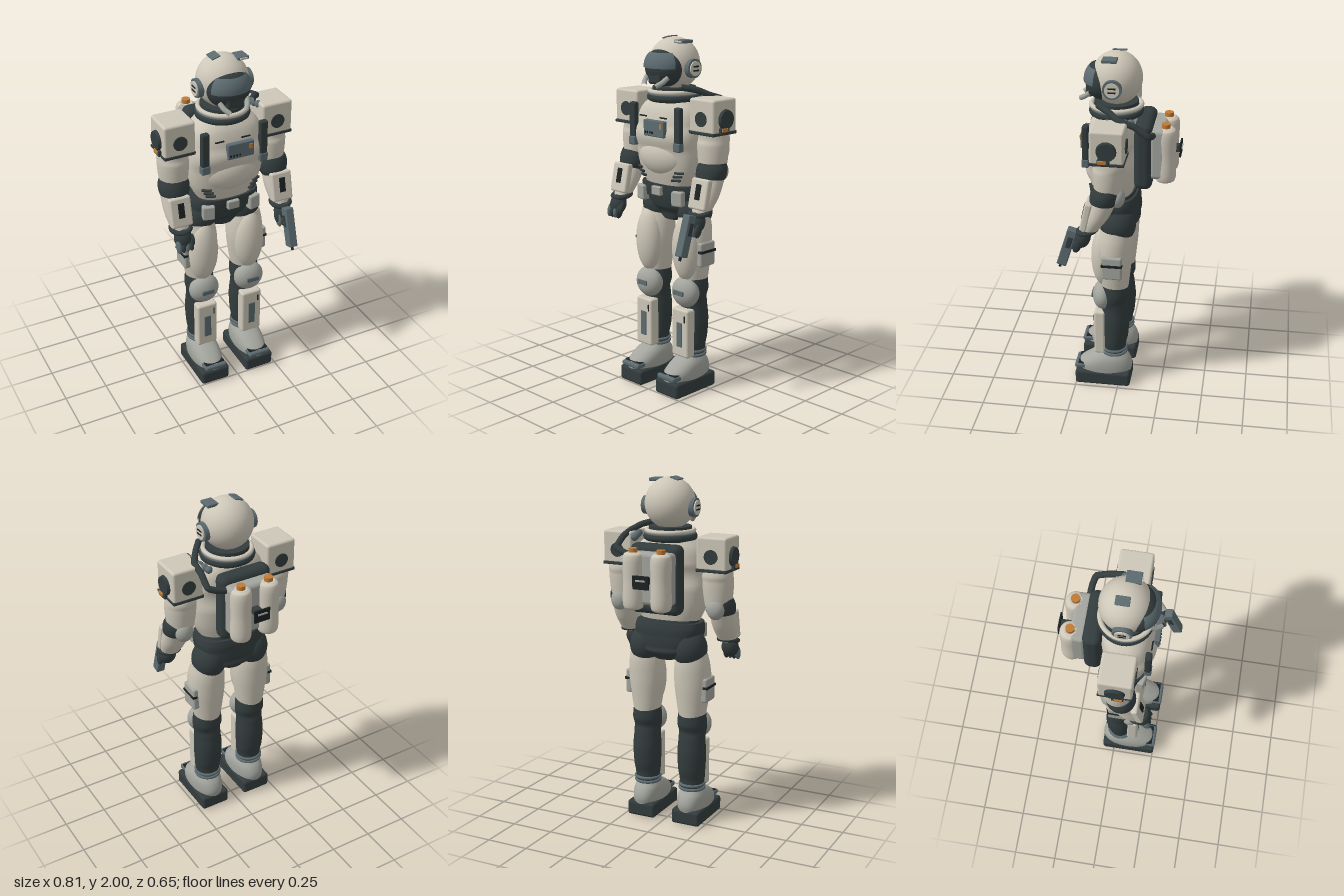
import * as THREE from 'three';
import { RoundedBoxGeometry } from 'three/addons/geometries/RoundedBoxGeometry.js';

const mat = (name, color) => Object.assign(new THREE.MeshStandardMaterial({ color }), { name });

export function createModel() {
  const cream = mat('cream shell', 0xcdc7b8), grey = mat('pale grey', 0xa3a59e);
  const dark = mat('dark fabric', 0x333c3d), teal = mat('slate metal', 0x5c6b70);
  const black = mat('black detail', 0x1c2223), orange = mat('orange', 0xbf7b35);
  const model = new THREE.Group();
  model.name = 'spaceSuit';

  const add = (name, geo, m, x = 0, y = 0, z = 0, rx = 0, ry = 0, rz = 0) => {
    const mesh = new THREE.Mesh(geo, m);
    mesh.name = name;
    mesh.position.set(x, y, z);
    mesh.rotation.set(rx, ry, rz);
    model.add(mesh);
    return mesh;
  };
  const box = (w, h, d, r = 0.01) => new RoundedBoxGeometry(w, h, d, 3, Math.min(r, w / 2.1, h / 2.1, d / 2.1));
  const ball = (a, b, c) => new THREE.SphereGeometry(1, 36, 24).scale(a, b, c);
  const cyl = (r, h, r2 = r) => new THREE.CylinderGeometry(r2, r, h, 32);
  const ring = (r, t, sx = 1, sz = 1) => new THREE.TorusGeometry(r, t, 10, 40).rotateX(Math.PI / 2).scale(sx, 1, sz);
  const tube = (pts, r) => new THREE.TubeGeometry(
    new THREE.CatmullRomCurve3(pts.map(p => new THREE.Vector3(...p)), false, 'catmullrom', 0.2), 40, r, 12);

  // Smooth body through sections [y, rx, rz, cx, cz], listed upward; n squares off the outline
  const loft = (sections, n = 2, steps = 28, sides = 44) => {
    const size = new THREE.CatmullRomCurve3(sections.map(s => new THREE.Vector3(s[0], s[1], s[2])));
    const mid = new THREE.CatmullRomCurve3(sections.map(s => new THREE.Vector3(s[3] || 0, s[4] || 0, 0)));
    const pos = [], idx = [];
    const pw = v => Math.sign(v) * Math.abs(v) ** (2 / n);
    const row = (t, k) => {
      const a = size.getPoint(t), c = mid.getPoint(t);
      for (let j = 0; j < sides; j++) {
        const q = j / sides * Math.PI * 2;
        pos.push(c.x + k * a.y * pw(Math.cos(q)), a.x, c.y + k * a.z * pw(Math.sin(q)));
      }
    };
    row(0, 0); row(0, 1);
    for (let i = 0; i <= steps; i++) row(i / steps, 1);
    row(1, 1); row(1, 0);
    for (let i = 0; i < steps + 4; i++) for (let j = 0; j < sides; j++) {
      const k = (j + 1) % sides, a = i * sides + j, b = i * sides + k;
      idx.push(a, a + sides, b, b, a + sides, b + sides);
    }
    const g = new THREE.BufferGeometry();
    g.setAttribute('position', new THREE.Float32BufferAttribute(pos, 3));
    g.setIndex(idx);
    g.computeVertexNormals();
    return g;
  };

  // Helmet and visor
  add('helmet', ball(0.143, 0.145, 0.14), cream, 0, 1.855, 0.033);
  add('visorSurround', ball(0.124, 0.108, 0.098), dark, 0, 1.84, 0.105);
  add('visorLens', new THREE.SphereGeometry(1, 36, 16, Math.PI * 0.12, Math.PI * 0.76, Math.PI * 0.25, Math.PI * 0.27)
    .scale(0.128, 0.108, 0.106), teal, 0, 1.845, 0.105).material.side = THREE.DoubleSide;
  add('respirator', box(0.1, 0.07, 0.04, 0.018), dark, 0, 1.785, 0.175);
  add('topPlate', box(0.05, 0.008, 0.075, 0.003), teal, -0.045, 1.994, 0.022, 0, 0, 0.28);
  add('helmetLamp', box(0.065, 0.018, 0.08, 0.004), teal, 0.093, 1.98, 0.057);
  add('lampFace', box(0.045, 0.01, 0.006, 0.002), cream, 0.093, 1.98, 0.099);

  // Neck
  add('neck', cyl(0.12, 0.08), dark, 0, 1.69, 0.035);
  add('collarRing', ring(0.13, 0.013, 1, 1.05), cream, 0, 1.705, 0.035);
  add('collarBase', ring(0.128, 0.022, 1.02, 1), dark, 0, 1.672, 0.035);
  add('collarBand', ring(0.137, 0.007), teal, 0, 1.69, 0.035);

  // Torso
  add('torso', loft([[1.19, 0.165, 0.105, 0, 0.045], [1.28, 0.205, 0.125, 0, 0.05], [1.4, 0.222, 0.138, 0, 0.053],
    [1.52, 0.216, 0.142, 0, 0.053], [1.61, 0.192, 0.128, 0, 0.045], [1.67, 0.13, 0.1, 0, 0.035]], 2.5), cream);
  add('bellyPlate', ball(0.19, 0.135, 0.125), cream, 0, 1.355, 0.083);
  add('chestPanel', box(0.155, 0.09, 0.03, 0.006), teal, 0.022, 1.515, 0.205);
  add('panelLight', box(0.018, 0.03, 0.006, 0.002), orange, 0.08, 1.53, 0.222);
  for (let i = 0; i < 4; i++) add('panelButton', box(0.009, 0.014, 0.006, 0.002), black, -0.04 + i * 0.018, 1.492, 0.221);
  for (const x of [-0.09, 0.065]) add('chestSlot', box(0.055, 0.008, 0.008, 0.003), black, x, 1.573, 0.186);

  // Belt and pelvis
  add('pelvis', loft([[0.98, 0.07, 0.07, 0, 0.01], [1.05, 0.17, 0.105, 0, 0.01], [1.13, 0.19, 0.115, 0, 0.02],
    [1.21, 0.17, 0.108, 0, 0.035]], 2.3), dark);
  add('belt', loft([[1.12, 0.2, 0.128, 0, 0.03], [1.16, 0.203, 0.13, 0, 0.033], [1.195, 0.195, 0.126, 0, 0.038]], 2.6, 8), dark);
  add('beltBuckle', box(0.07, 0.05, 0.03, 0.006), grey, 0, 1.16, 0.17);

  // Backpack with two tanks
  add('backpack', box(0.31, 0.39, 0.1, 0.04), dark, 0, 1.455, -0.127);
  add('packFrame', box(0.28, 0.29, 0.09, 0.025), grey, 0, 1.47, -0.205);
  add('packDisplay', box(0.098, 0.075, 0.01, 0.003), black, 0, 1.465, -0.32);
  add('displayMount', box(0.04, 0.04, 0.07, 0.004), dark, 0, 1.465, -0.28);
  add('displayBar', box(0.06, 0.01, 0.006, 0.002), grey, 0, 1.475, -0.327);

  // Air hose with ribbed coupling
  add('airHose', tube([[0.12, 1.58, -0.18], [0.19, 1.6, -0.175], [0.235, 1.62, -0.16], [0.232, 1.67, -0.09],
    [0.228, 1.695, -0.01], [0.185, 1.725, 0.05], [0.13, 1.74, 0.115]], 0.018), dark);
  for (let i = 0; i < 5; i++) add('hoseRib', ball(0.021, 0.021, 0.021), teal, 0.173 + i * 0.009, 1.665 + i * 0.002, -0.065 + i * 0.03);

  for (const s of [-1, 1]) {
    // Ear discs and cheek guards
    add('earDisc', cyl(0.052, 0.03), teal, s * 0.145, 1.837, 0.037, 0, 0, Math.PI / 2);
    add('earCap', cyl(0.04, 0.04), cream, s * 0.147, 1.837, 0.037, 0, 0, Math.PI / 2);
    for (const d of [-0.011, 0.011]) add('earSlot', box(0.006, 0.009, 0.042, 0.002), black, s * 0.167, 1.837 + d, 0.037);
    add('cheekGuard', tube([[s * 0.08, 1.79, 0.165], [s * 0.068, 1.765, 0.195], [s * 0.045, 1.745, 0.222]], 0.014), grey);

    // Harness straps and waist seals
    add('harnessStrap', box(0.046, 0.24, 0.035, 0.01), dark, s * 0.173, 1.52, 0.178);
    add('strapBuckle', box(0.05, 0.05, 0.04, 0.008), teal, s * 0.173, 1.425, 0.179);
    for (let i = 0; i < 3; i++) add('waistSeal', box(0.055, 0.012, 0.02, 0.004), dark, s * (0.15 - i * 0.012), 1.275 - i * 0.022, 0.15, 0, s * 0.5);
    add('beltPouch', box(0.07, 0.085, 0.045, 0.01), grey, s * 0.138, 1.13, 0.145, 0, s * 0.25);

    // Tanks
    add('tank', loft([[1.3, 0.035, 0.035], [1.315, 0.054, 0.054], [1.46, 0.056, 0.056], [1.6, 0.054, 0.054],
      [1.615, 0.035, 0.035]], 2, 24), cream, s * 0.085, 0, -0.245);
    for (const y of [1.36, 1.56]) add('tankBand', cyl(0.058, 0.022), teal, s * 0.085, y, -0.245);
    add('tankValve', cyl(0.024, 0.035), orange, s * 0.085, 1.62, -0.245);

    // Shoulder boxes
    const ax = s * 0.29;
    add('shoulderBox', box(0.18, 0.185, 0.182, 0.014), cream, ax, 1.6, 0.035);
    add('shoulderTrim', box(0.184, 0.018, 0.188, 0.005), dark, ax, 1.508, 0.035);
    add('shoulderDisc', cyl(0.058, 0.03, 0.05), dark, s * 0.382, 1.585, 0.035, 0, 0, -s * Math.PI / 2);
    for (const f of [-1, 1]) add('shoulderPort', cyl(0.04, 0.012), dark, ax, 1.585, 0.035 + f * 0.091, Math.PI / 2);
    add('shoulderLatch', box(0.03, 0.035, 0.065, 0.004), dark, s * 0.382, 1.525, 0.05);
    add('shoulderLight', box(0.012, 0.02, 0.045, 0.003), orange, s * 0.397, 1.53, 0.055);

    // Arms
    const fx = s * 0.31;
    add('upperArm', loft([[1.28, 0.07, 0.07, 0, 0.04], [1.37, 0.084, 0.08, 0, 0.037], [1.45, 0.088, 0.085, 0, 0.035],
      [1.53, 0.08, 0.08, 0, 0.035]]), cream, s * 0.295);
    add('elbow', loft([[1.235, 0.066, 0.06, 0, 0.068], [1.265, 0.083, 0.078, 0, 0.06], [1.31, 0.087, 0.08, 0, 0.052],
      [1.345, 0.076, 0.073, 0, 0.045]]), dark, s * 0.302);
    add('elbowPad', ball(0.052, 0.06, 0.042), grey, s * 0.302, 1.29, -0.012);
    add('forearm', loft([[1.08, 0.052, 0.046, 0, 0.145], [1.17, 0.07, 0.066, 0, 0.1], [1.27, 0.073, 0.072, 0, 0.06]]), cream, fx);
    add('forearmPlate', box(0.125, 0.17, 0.04, 0.012), cream, fx, 1.185, 0.152, -0.22);
    add('forearmSlot', box(0.036, 0.085, 0.008, 0.003), black, fx, 1.2, 0.17, -0.22);
    add('wristRing', ring(0.05, 0.014, 1.05), dark, fx, 1.085, 0.152, 0.2);
    add('palm', ball(0.05, 0.06, 0.045), dark, fx, 1.035, 0.18, -0.3);
    for (let i = 0; i < 4; i++) add('finger', ball(0.015, 0.042, 0.024), i % 2 ? dark : teal, fx + (i - 1.5) * 0.024, 1.0, 0.205, -0.3);
    add('thumb', ball(0.015, 0.035, 0.016), dark, fx - s * 0.046, 1.02, 0.2, -0.4);

    // Legs
    const lx = s * 0.145;
    add('hip', ball(0.098, 0.115, 0.102), dark, s * 0.137, 1.045, 0.01);
    add('thigh', loft([[0.63, 0.075, 0.075, 0, 0.025], [0.72, 0.09, 0.088, 0, 0.028], [0.85, 0.106, 0.102, 0, 0.03],
      [0.95, 0.102, 0.1, 0, 0.025], [1.02, 0.088, 0.088, 0, 0.02]]), cream, lx);
    add('thighPlate', ball(0.088, 0.19, 0.075), cream, lx, 0.84, 0.085);
    add('thighPocket', box(0.04, 0.14, 0.115, 0.012), grey, s * 0.24, 0.815, 0.03);
    add('pocketStrap', box(0.03, 0.016, 0.12, 0.004), black, s * 0.25, 0.832, 0.03);
    add('lowerLeg', loft([[0.2, 0.065, 0.062, 0, 0.025], [0.3, 0.078, 0.074, 0, 0.025], [0.42, 0.084, 0.08, 0, 0.023],
      [0.53, 0.078, 0.075, 0, 0.027], [0.6, 0.086, 0.082, 0, 0.027], [0.67, 0.08, 0.078, 0, 0.027]]), dark, lx);
    add('kneeCap', ball(0.09, 0.088, 0.062), grey, lx, 0.585, 0.092);
    add('kneeSlot', box(0.075, 0.028, 0.01, 0.003), teal, lx, 0.59, 0.153);
    add('shinPlate', box(0.125, 0.285, 0.065, 0.014), cream, lx, 0.35, 0.11);
    add('shinSlot', box(0.042, 0.145, 0.008, 0.003), teal, lx, 0.34, 0.143);
    add('shinNotch', box(0.008, 0.04, 0.006, 0.002), black, lx + 0.04, 0.44, 0.143);
    for (const y of [0.208, 0.232]) add('ankleRing', ring(0.07, 0.009), teal, lx, y, 0.03);

    // Boots
    add('boot', loft([[0.07, 0.084, 0.158, 0, 0.09], [0.12, 0.086, 0.16, 0, 0.085], [0.165, 0.08, 0.125, 0, 0.065],
      [0.205, 0.06, 0.072, 0, 0.045]], 2.3), grey, lx);
    add('toeCap', box(0.135, 0.03, 0.085, 0.012), teal, lx, 0.11, 0.217);
    add('toeStrap', box(0.12, 0.008, 0.05, 0.003), black, lx, 0.126, 0.215);
    add('sole', box(0.178, 0.09, 0.325, 0.018), dark, lx, 0.045, 0.092);
  }

  // Hand tool held in the left hand
  add('toolBody', box(0.05, 0.23, 0.055, 0.006), teal, 0.31, 0.975, 0.265, -0.3);
  add('toolSide', box(0.054, 0.07, 0.03, 0.004), dark, 0.31, 1.01, 0.25, -0.3);
  add('toolTip', cyl(0.008, 0.03), black, 0.31, 0.86, 0.305, -0.3);
  return model;
}
